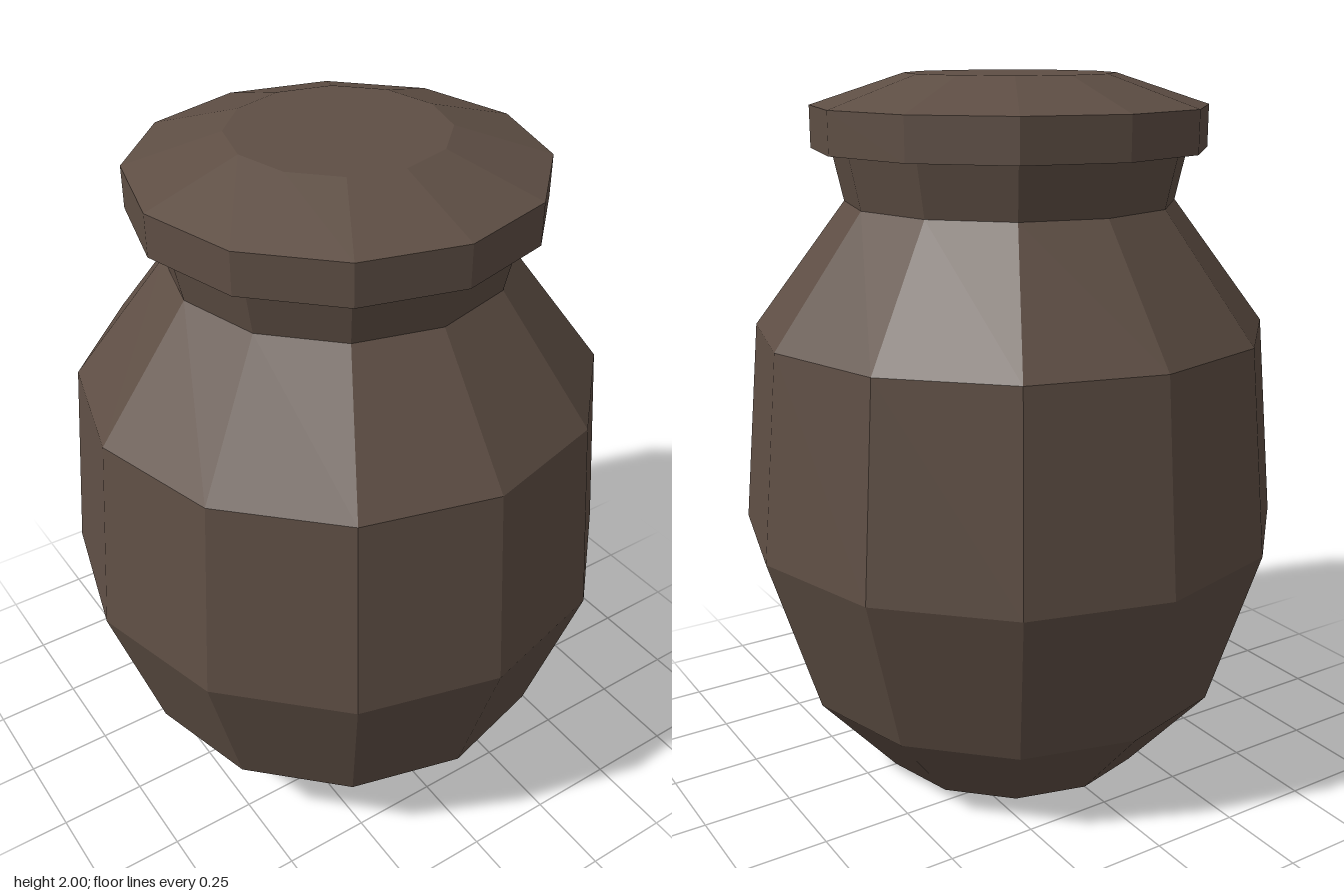
import * as THREE from 'three';

const SIDES = 12;

// Faceted turned part from [radius, height] pairs, listed bottom to top
function turned(name, profile, material) {
  const points = profile.map(([r, y]) => new THREE.Vector2(r, y));
  const mesh = new THREE.Mesh(new THREE.LatheGeometry(points, SIDES), material);
  mesh.name = name;
  return mesh;
}

export function createModel() {
  const group = new THREE.Group();
  group.name = 'jar';
  const clay = new THREE.MeshStandardMaterial({ color: 0x5e4e44, flatShading: true });

  // Closed base, bulging belly, sloping shoulder
  group.add(turned('body', [
    [0, 0], [0.405, 0], [0.635, 0.263], [0.78, 0.727], [0.725, 1.307], [0.463, 1.655],
  ], clay));

  // Slightly flared neck
  group.add(turned('neck', [[0.463, 1.655], [0.495, 1.8]], clay));

  // Overhanging lid with a bevelled top
  group.add(turned('lid', [
    [0, 1.8], [0.55, 1.8], [0.55, 1.915], [0.29, 2], [0, 2],
  ], clay));

  return group;
}
